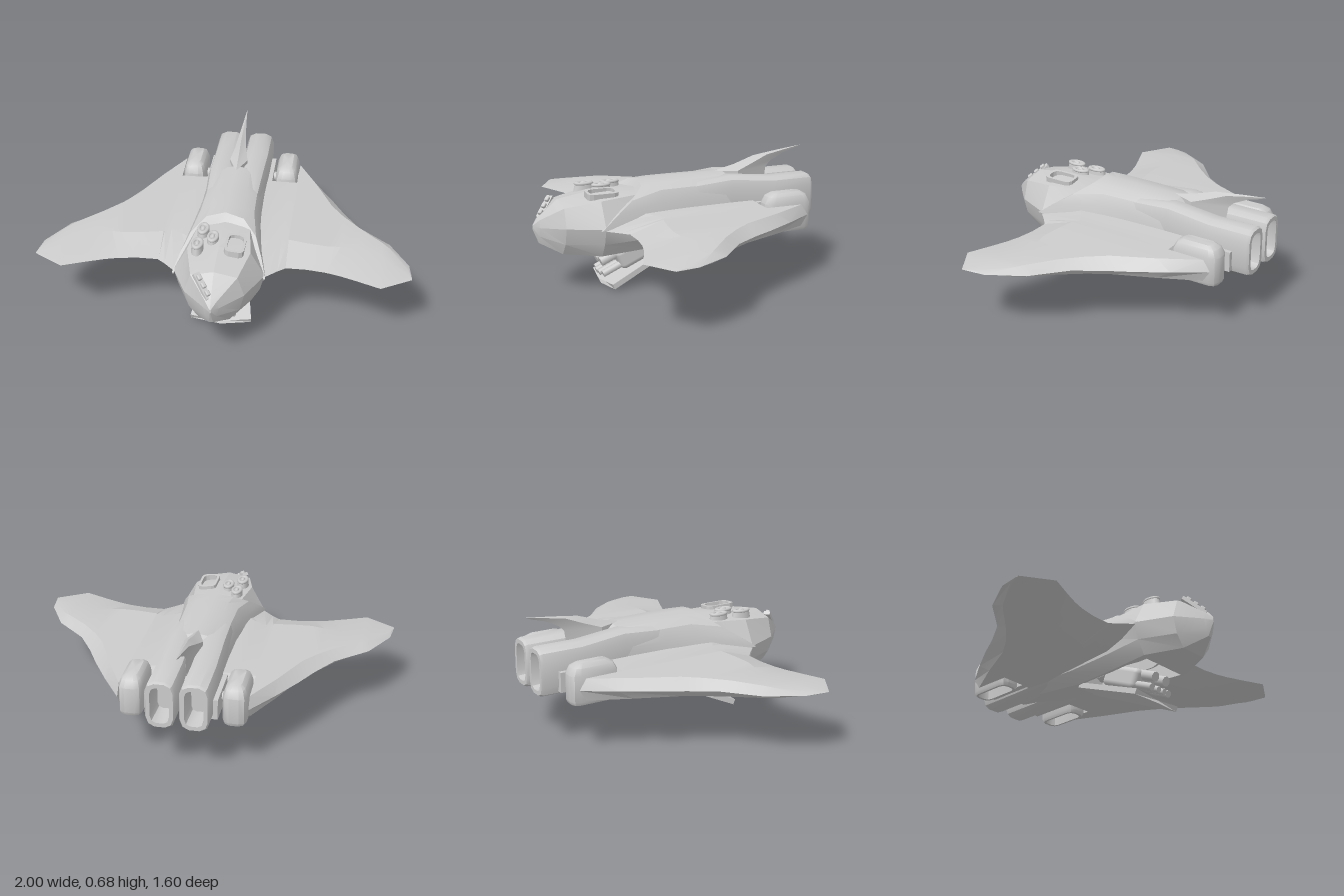
import * as THREE from 'three';
import { toCreasedNormals } from 'three/addons/utils/BufferGeometryUtils.js';
import { RoundedBoxGeometry } from 'three/addons/geometries/RoundedBoxGeometry.js';

const solid = new THREE.MeshStandardMaterial({ color: 0xcccccc });
const open = new THREE.MeshStandardMaterial({ color: 0xcccccc, side: THREE.DoubleSide });

// Skin a list of cross-sections; each row is a list of [x, y, z] points.
function loft(rows, { closed = true, caps = true, skip = () => false, crease = 0.5 } = {}) {
  const middle = row => {
    const c = [0, 1, 2].map(k => row.reduce((s, p) => s + p[k], 0) / row.length);
    return row.map(() => c);
  };
  const all = caps ? [middle(rows[0]), ...rows, middle(rows[rows.length - 1])] : rows;
  const n = all[0].length, index = [];
  for (let i = 0; i < all.length - 1; i++) {
    for (let j = 0; j < (closed ? n : n - 1); j++) {
      if (skip(caps ? i - 1 : i, j)) continue;
      const k = (j + 1) % n, a = i * n + j, b = i * n + k, c = b + n, d = a + n;
      index.push(a, b, c, a, c, d);
    }
  }
  // Turn every face outwards
  const flat = all.flat().map(p => new THREE.Vector3(...p));
  let volume = 0;
  for (let t = 0; t < index.length; t += 3) {
    const [a, b, c] = [0, 1, 2].map(k => flat[index[t + k]]);
    volume += a.dot(b.clone().cross(c));
  }
  if (volume < 0) index.reverse();
  const g = new THREE.BufferGeometry();
  g.setAttribute('position', new THREE.Float32BufferAttribute(all.flat(2), 3));
  g.setIndex(index);
  return toCreasedNormals(g, crease);
}

// Chamfered rectangle, counter-clockwise, with a middle point on each corner
function octagon(w, h, c, d = c) {
  const corner = [[w, h - d], [w - c * 0.3, h - d * 0.3], [w - c, h]];
  const left = corner.map(([x, y]) => [-x, y]).reverse();
  const top = [...corner, ...left];
  return [...top, ...top.map(([x, y]) => [-x, -y])];
}

// Full ring from its +x half, the first point lying on the centre line
const mirrorHalf = (half, z) => [
  ...half.map(([x, y]) => [x, y, z]),
  ...half.slice(1).reverse().map(([x, y]) => [-x, y, z]),
];

function add(parent, name, geometry, material = solid, position = [0, 0, 0]) {
  const mesh = new THREE.Mesh(geometry, material);
  mesh.name = name;
  mesh.position.set(...position);
  parent.add(mesh);
  return mesh;
}

function buildHull(ship) {
  // z, then deck centre, deck edge, waist, lower edge, belly edge
  const sections = [
    [0.80, [0, 0.37], [0.004, 0.368], [0.005, 0.36], [0.004, 0.35], [0.002, 0.345]],
    [0.77, [0, 0.41], [0.03, 0.40], [0.04, 0.36], [0.03, 0.31], [0.01, 0.27]],
    [0.66, [0, 0.50], [0.12, 0.475], [0.155, 0.37], [0.13, 0.28], [0.08, 0.215]],
    [0.47, [0, 0.53], [0.165, 0.505], [0.24, 0.37], [0.215, 0.28], [0.17, 0.205]],
    [0.20, [0, 0.53], [0.13, 0.52], [0.195, 0.38], [0.19, 0.28], [0.14, 0.21]],
    [-0.08, [0, 0.5], [0.13, 0.5], [0.17, 0.38], [0.16, 0.29], [0.09, 0.235]],
    [-0.45, [0, 0.46], [0.11, 0.47], [0.16, 0.38], [0.14, 0.32], [0.07, 0.285]],
    [-0.64, [0, 0.42], [0.06, 0.42], [0.1, 0.38], [0.08, 0.33], [0.04, 0.31]],
  ];
  const rows = sections.map(([z, ...half]) => mirrorHalf(half, z));
  const bayOpening = (i, j) => j === 4 && (i === 3 || i === 4);
  add(ship, 'hull', loft(rows, { skip: bayOpening, crease: 0.3 }), open);

  // Cargo bay recess above the ramp
  const rim = [[0.17, 0.205, 0.47], [0.14, 0.21, 0.2], [0.09, 0.235, -0.08]];
  const ring = [...rim, ...rim.map(([x, y, z]) => [-x, y, z]).reverse()];
  const inset = y => ring.map(([x, y0, z]) => [x * 0.88, y ?? y0, 0.2 + (z - 0.2) * 0.93]);
  const roof = inset(0.36).map(([x, , z]) => [0, 0.36, z]);
  add(ship, 'cargoBay', loft([ring, inset(), inset(0.36), roof], { caps: false }), open);

  // Raised back with a raked front collar
  const back = [
    [[0, 0.515, 0.24], [0.09, 0.505, 0.27], [0.15, 0.47, 0.34], [0.2, 0.41, 0.43], [0.238, 0.36, 0.5]],
    [[0, 0.572, 0.2], [0.1, 0.552, 0.22], [0.175, 0.495, 0.3], [0.215, 0.43, 0.4], [0.245, 0.365, 0.49]],
    [[0, 0.572, 0.12], [0.09, 0.56, 0.12], [0.145, 0.53, 0.12], [0.178, 0.47, 0.14], [0.195, 0.36, 0.17]],
    [[0, 0.572, -0.05], [0.09, 0.56, -0.05], [0.14, 0.53, -0.05], [0.165, 0.47, -0.05], [0.17, 0.36, -0.05]],
    [[0, 0.572, -0.3], [0.08, 0.56, -0.3], [0.13, 0.53, -0.3], [0.16, 0.47, -0.3], [0.165, 0.36, -0.3]],
    [[0, 0.46, -0.5], [0.05, 0.46, -0.5], [0.1, 0.46, -0.5], [0.15, 0.43, -0.5], [0.15, 0.36, -0.5]],
  ].map(half => [...half.slice(1).reverse().map(([x, y, z]) => [-x, y, z]), ...half]);
  add(ship, 'raisedBack', loft(back, { closed: false, caps: false, crease: 0.45 }), open);

  // Tail fin: diamond slices of [y, front z, back z, half width]
  const fin = [
    [0.44, -0.25, -0.56, 0.05], [0.57, -0.25, -0.58, 0.05], [0.6, -0.38, -0.61, 0.032],
    [0.64, -0.5, -0.69, 0.018], [0.66, -0.65, -0.76, 0.008], [0.676, -0.795, -0.8, 0.001],
  ].map(([y, f, b, w]) => {
    const m = f + (b - f) * 0.4;
    return [[0, y, f], [w, y, m], [0, y, b], [-w, y, m]];
  });
  add(ship, 'tailFin', loft(fin), solid);
}

function buildSide(side) {
  // Wing: x, leading edge z, front ridge z, rear ridge z, trailing edge z, top y, bottom y
  const wing = [
    [0.12, 0.50, 0.28, -0.42, -0.45, 0.425, 0.295], [0.24, 0.47, 0.20, -0.42, -0.45, 0.42, 0.30],
    [0.30, 0.41, 0.16, -0.42, -0.45, 0.42, 0.30], [0.336, 0.38, 0.18, -0.42, -0.45, 0.42, 0.30],
    [0.34, 0.375, 0.19, -0.63, -0.67, 0.42, 0.30], [0.45, 0.375, 0.21, -0.42, -0.505, 0.417, 0.305],
    [0.55, 0.39, 0.22, -0.20, -0.34, 0.414, 0.308], [0.62, 0.41, 0.21, -0.10, -0.21, 0.41, 0.312],
    [0.71, 0.445, 0.20, 0.0, -0.07, 0.406, 0.318], [0.84, 0.50, 0.25, 0.12, 0.045, 0.395, 0.33],
    [0.88, 0.475, 0.29, 0.16, 0.08, 0.388, 0.335], [0.985, 0.41, 0.37, 0.33, 0.27, 0.366, 0.355],
    [1.0, 0.40, 0.395, 0.39, 0.385, 0.361, 0.359],
  ].map(([x, f, r, q, b, t, u]) =>
    [[x, 0.36, f], [x, t, r], [x, t, q], [x, 0.36, b], [x, u, q], [x, u, r]]);
  add(side, 'wing', loft(wing, { crease: 0.3 }));

  // Main engine: z, half width, half height, centre y; the last rows form the nozzle recess
  const engine = [
    [0, 0.06, 0.12, 0.415], [-0.3, 0.075, 0.14, 0.424], [-0.55, 0.078, 0.13, 0.407],
    [-0.78, 0.078, 0.13, 0.407], [-0.795, 0.07, 0.122, 0.407], [-0.795, 0.05, 0.1, 0.407],
    [-0.66, 0.042, 0.09, 0.407],
  ].map(([z, w, h, cy]) => octagon(w, h, w * 0.62, w * 0.75).map(([x, y]) => [0.088 + x, cy + y, z]));
  add(side, 'engine', loft(engine, { crease: 0.6 }));

  // Lift pod with a nozzle opening downwards: y, half width, half length
  const pod = [
    [0.485, 0.03, 0.085], [0.468, 0.05, 0.115], [0.43, 0.063, 0.135], [0.29, 0.063, 0.135],
    [0.272, 0.055, 0.127], [0.272, 0.043, 0.112], [0.36, 0.038, 0.105],
  ].map(([y, w, l]) => octagon(w, l, w * 0.6, w * 0.7).map(([x, z]) => [0.27 + x, y, -0.565 + z]));
  add(side, 'liftPod', loft(pod, { crease: 0.6 }));

  const axle = new THREE.CylinderGeometry(0.025, 0.025, 0.2, 12).rotateZ(Math.PI / 2);
  add(side, 'podAxle', axle, solid, [0.25, 0.37, -0.57]);
  add(side, 'podBracket', new THREE.BoxGeometry(0.04, 0.11, 0.28), solid, [0.17, 0.36, -0.56]);
}

function buildDeckDetails(ship) {
  // Three ringed domes on the right of the deck
  for (const [x, z] of [[-0.1, 0.33], [-0.04, 0.4], [-0.11, 0.475]]) {
    const dome = new THREE.Group();
    dome.name = 'deckDome';
    dome.position.set(x, 0.545, z);
    dome.scale.z = 1.75;
    add(dome, 'domeBase', new THREE.CylinderGeometry(0.028, 0.034, 0.045, 16), solid, [0, -0.02, 0]);
    add(dome, 'domeRing', new THREE.TorusGeometry(0.023, 0.009, 8, 20).rotateX(Math.PI / 2));
    add(dome, 'domeLens', new THREE.SphereGeometry(0.012, 10, 8));
    ship.add(dome);
  }
  // Hatch frame on the left of the deck
  const outline = (w, h) => octagon(w, h, 0.025, 0.03).map(p => new THREE.Vector2(...p));
  const frame = new THREE.Shape(outline(0.052, 0.088));
  frame.holes.push(new THREE.Path(outline(0.039, 0.072)));
  const geo = new THREE.ExtrudeGeometry(frame, { depth: 0.035, bevelEnabled: false }).rotateX(-Math.PI / 2);
  add(ship, 'deckHatch', geo, solid, [0.08, 0.506, 0.44]).rotation.z = -0.1;

  // Sensor strip lying on the nose
  const sensor = new THREE.Group();
  sensor.name = 'noseSensor';
  sensor.position.set(-0.05, 0.447, 0.715);
  sensor.lookAt(0.0, 0.39, 0.77);
  add(sensor, 'sensorBase', new THREE.BoxGeometry(0.036, 0.02, 0.15));
  for (const z of [-0.045, 0, 0.045])
    add(sensor, 'sensorBlock', new RoundedBoxGeometry(0.024, 0.025, 0.03, 2, 0.007), solid, [0, 0.014, z]);
  ship.add(sensor);
}

function buildRamp(ship) {
  // Lowered ramp; its local z runs from the hinge to the free end
  const ramp = new THREE.Group();
  ramp.name = 'ramp';
  ramp.position.set(0, 0.25, -0.08);
  ramp.rotation.x = 0.41;
  const slice = ([w, z, s]) => [[w, 0, z - s], [0, 0, z], [-w, 0, z - s],
    [-w, -0.03, z - s], [0, -0.03, z], [w, -0.03, z - s]];
  add(ramp, 'rampPlate', loft([[0.08, 0, 0], [0.165, 0.56, 0.025]].map(slice)));

  // Gun rack carried on the ramp
  add(ramp, 'rackBody', new RoundedBoxGeometry(0.2, 0.12, 0.25, 3, 0.03), solid, [0, 0.065, 0.31]);
  add(ramp, 'rackArm', new THREE.BoxGeometry(0.08, 0.05, 0.14), solid, [0, 0.1, 0.16]);
  const barrel = (x, y, r, z) => {
    const g = new THREE.CylinderGeometry(r, r, 0.16, 8).rotateX(Math.PI / 2);
    add(ramp, 'rackBarrel', g, solid, [x, y, z - 0.08]);
  };
  for (const s of [-1, 1]) {
    barrel(s * 0.042, 0.1, 0.028, 0.52);
    barrel(s * 0.065, 0.04, 0.02, 0.54);
    barrel(s * 0.022, 0.04, 0.017, 0.55);
  }
  ship.add(ramp);
}

export function createModel() {
  const ship = new THREE.Group();
  ship.name = 'spaceship';
  buildHull(ship);
  for (const [name, s] of [['leftSide', 1], ['rightSide', -1]]) {
    const side = new THREE.Group();
    side.name = name;
    side.scale.x = s;
    buildSide(side);
    ship.add(side);
  }
  buildDeckDetails(ship);
  buildRamp(ship);
  return ship;
}
